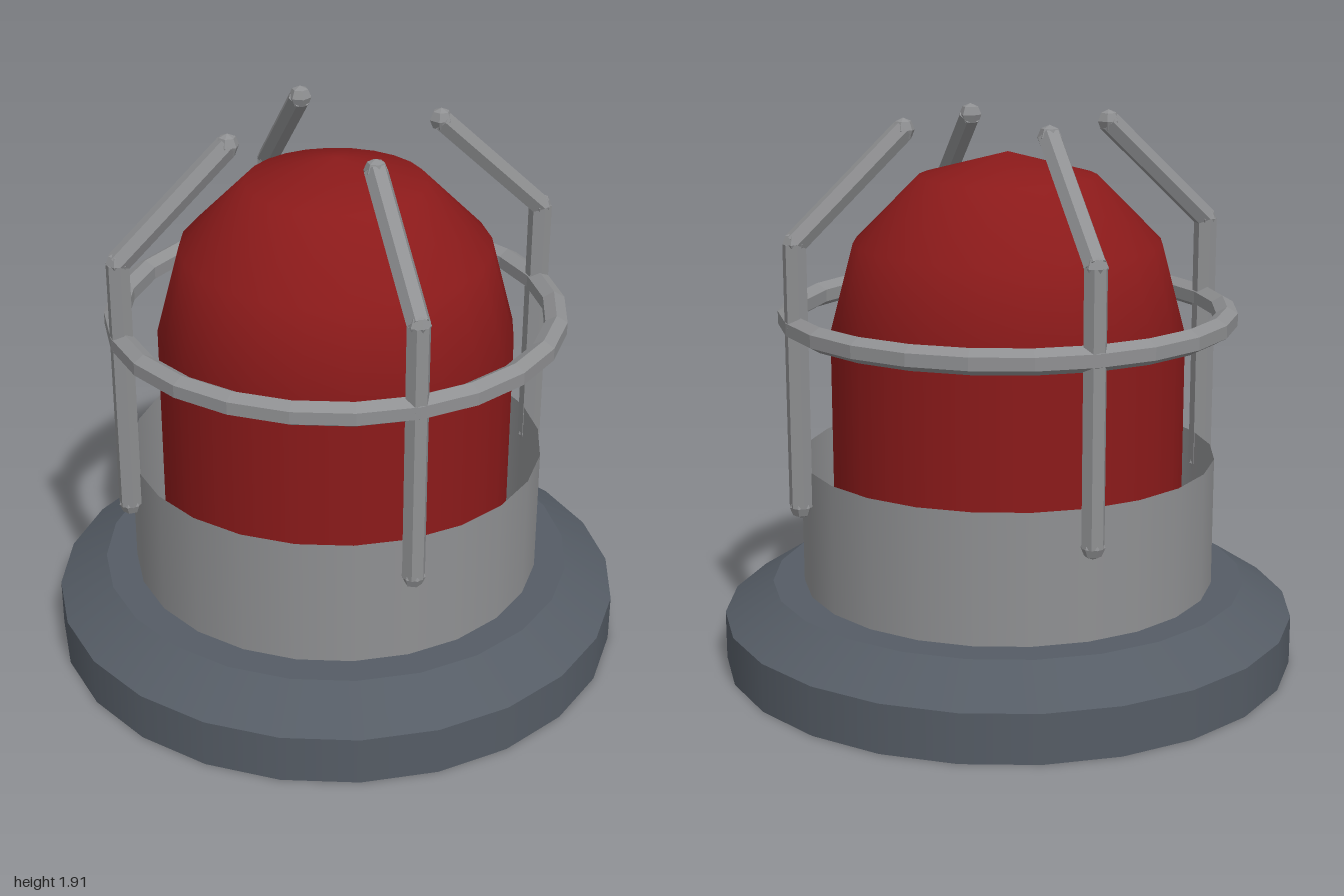
import * as THREE from 'three';

const SIDES = 24;
const BAR = 0.04;

export function createModel() {
  const model = new THREE.Group();
  model.name = 'beaconLight';

  const baseMat = new THREE.MeshStandardMaterial({ color: 0x555c65 });
  const collarMat = new THREE.MeshStandardMaterial({ color: 0x8f9092, side: THREE.DoubleSide });
  const domeMat = new THREE.MeshStandardMaterial({ color: 0x8b1a1a });
  const cageMat = new THREE.MeshStandardMaterial({ color: 0x8f9092, flatShading: true });

  function add(parent, name, geometry, material, y = 0) {
    const mesh = new THREE.Mesh(geometry, material);
    mesh.name = name;
    mesh.position.y = y;
    parent.add(mesh);
    return mesh;
  }

  // Base: a disc with a sloped shoulder
  const base = new THREE.Group();
  base.name = 'base';
  model.add(base);
  add(base, 'baseDisc', new THREE.CylinderGeometry(1, 1, 0.17, SIDES), baseMat, 0.085);
  add(base, 'baseShoulder', new THREE.CylinderGeometry(0.83, 1, 0.11, SIDES), baseMat, 0.225);

  // Collar: an open sleeve around the foot of the dome
  add(model, 'collar', new THREE.CylinderGeometry(0.72, 0.72, 0.45, SIDES, 1, true), collarMat, 0.505);

  // Lens: straight wall and a coarse half sphere
  const lens = new THREE.Group();
  lens.name = 'lens';
  model.add(lens);
  add(lens, 'lensWall', new THREE.CylinderGeometry(0.61, 0.61, 0.89, SIDES, 1, true), domeMat, 0.725);
  add(lens, 'lensDome', new THREE.SphereGeometry(0.61, SIDES, 3, 0, Math.PI * 2, 0, Math.PI / 2), domeMat, 1.17);

  // Guard: a hexagonal hoop and four bent bars
  const guard = new THREE.Group();
  guard.name = 'guard';
  model.add(guard);

  const hoopProfile = [];
  for (let i = 0; i <= 6; i++) {
    const a = -Math.PI / 2 + (i * Math.PI) / 3;
    hoopProfile.push(new THREE.Vector2(0.75 + 0.043 * Math.cos(a), 0.043 * Math.sin(a)));
  }
  add(guard, 'guardHoop', new THREE.LatheGeometry(hoopProfile, SIDES), cageMat, 1.225);

  // Each bar lies in its own x-y plane, then turns to a diagonal
  const path = [[0.75, 0.61], [0.75, 1.51], [0.37, 1.867]].map(([x, y]) => new THREE.Vector3(x, y, 0));
  const up = new THREE.Vector3(0, 1, 0);
  for (let k = 0; k < 4; k++) {
    const bar = new THREE.Group();
    bar.name = 'guardBar' + (k + 1);
    bar.rotation.y = Math.PI / 4 + (k * Math.PI) / 2;
    guard.add(bar);
    for (let i = 0; i < 2; i++) {
      const dir = path[i + 1].clone().sub(path[i]);
      const rod = add(bar, i ? 'barSlope' : 'barPost', new THREE.CylinderGeometry(BAR, BAR, dir.length(), 6), cageMat);
      rod.position.copy(path[i]).addScaledVector(dir, 0.5);
      rod.quaternion.setFromUnitVectors(up, dir.normalize());
    }
    // Rounded ends and elbow
    for (const p of path) {
      add(bar, 'barKnuckle', new THREE.SphereGeometry(BAR, 6, 4), cageMat).position.copy(p);
    }
  }

  return model;
}
